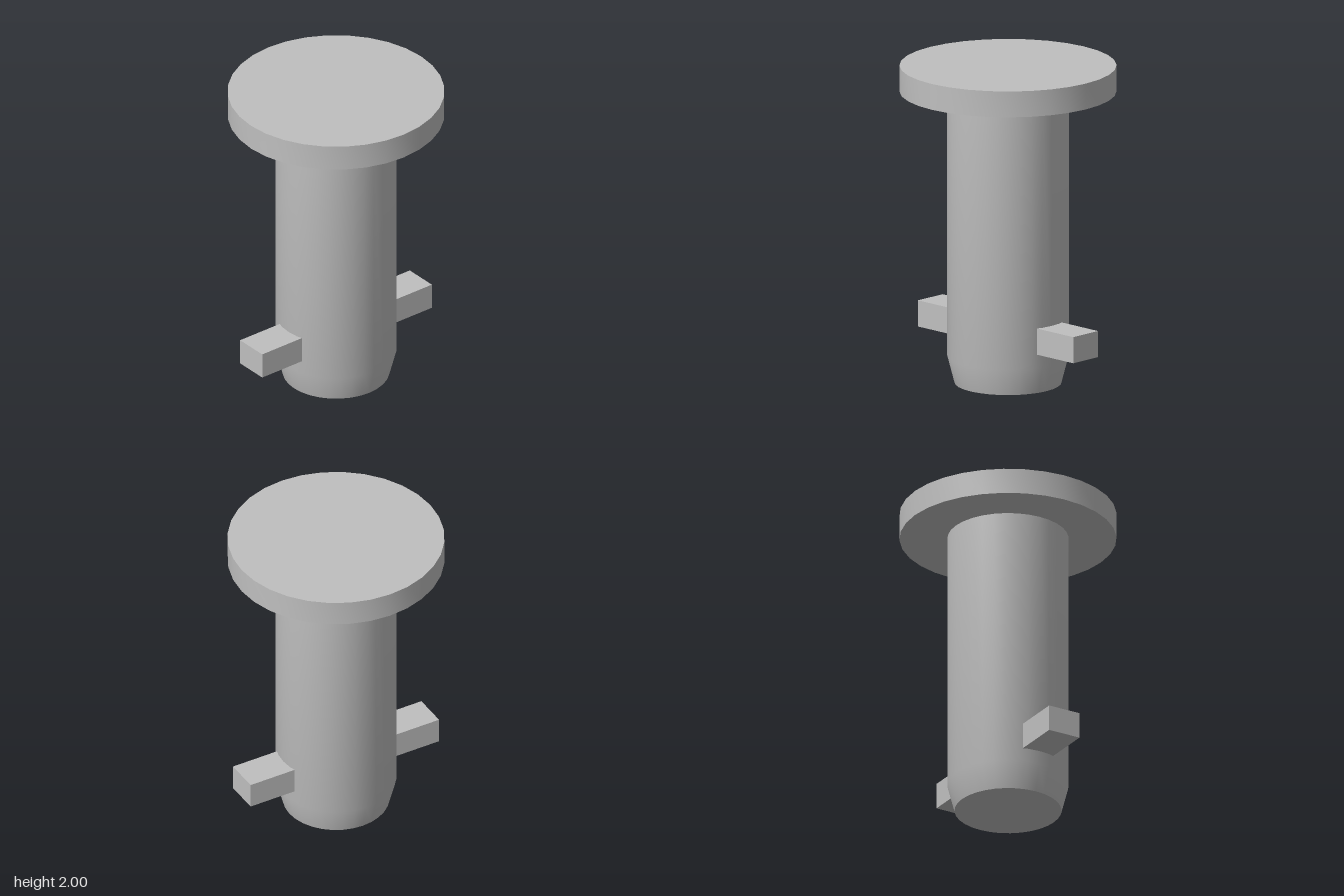
import * as THREE from 'three';
import { toCreasedNormals } from 'three/addons/utils/BufferGeometryUtils.js';

const SIDES = 32;
const HEAD_RADIUS = 0.665;
const SHAFT_RADIUS = 0.372;

// Revolve a bottom-to-top [radius, height] profile, keeping sharp rims sharp
function turned(profile) {
  const points = profile.map(([r, y]) => new THREE.Vector2(r, y));
  return toCreasedNormals(new THREE.LatheGeometry(points, SIDES), Math.PI / 6);
}

export function createModel() {
  const model = new THREE.Group();
  model.name = 'lockingPin';
  const steel = new THREE.MeshStandardMaterial({ color: 0xbfbfbf });
  steel.name = 'steel grey';

  const add = (name, geometry) => {
    const mesh = new THREE.Mesh(geometry, steel);
    mesh.name = name;
    model.add(mesh);
    return mesh;
  };

  // Shaft with a tapered tip
  add('shaft', turned([[0, 0], [0.328, 0], [SHAFT_RADIUS, 0.17], [SHAFT_RADIUS, 1.837]]));

  // Flat round head
  add('head', turned([[SHAFT_RADIUS, 1.837], [HEAD_RADIUS, 1.837], [HEAD_RADIUS, 2], [0, 2]]));

  // Locking lugs at front and back, rooted just inside the shaft
  const inner = 0.34;
  for (const [name, side] of [['frontLug', 1], ['backLug', -1]]) {
    const lug = add(name, new THREE.BoxGeometry(0.217, 0.165, HEAD_RADIUS - inner));
    lug.position.set(0, 0.337, side * (HEAD_RADIUS + inner) / 2);
  }

  return model;
}
